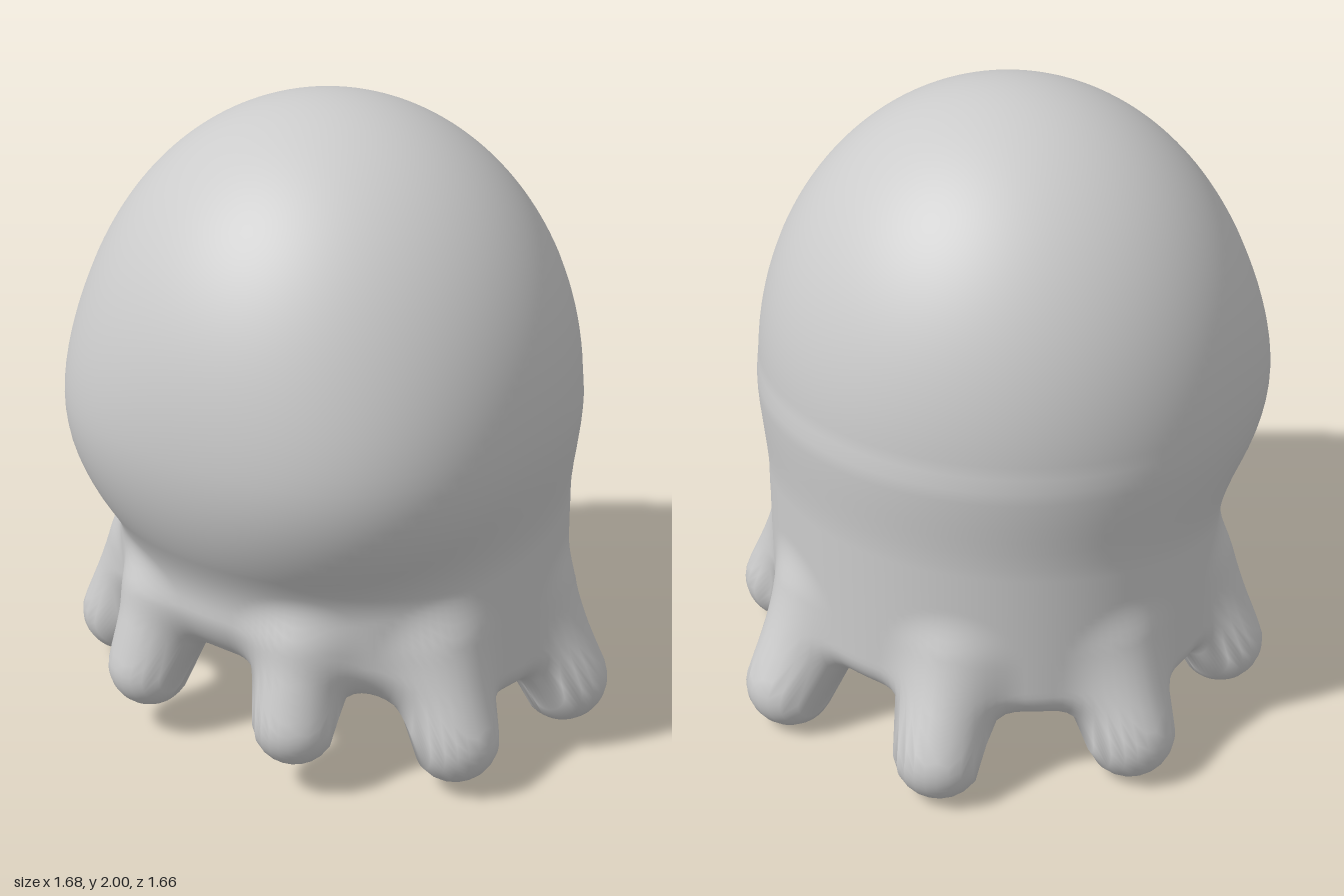
import * as THREE from 'three';

// Legs of one side: hip, tip, hip radius, tip radius
const LEGS = [
  [[0.27, 0.46, 0.54], [0.29, 0.23, 0.60], 0.125, 0.13],
  [[0.57, 0.43, 0.27], [0.67, 0.17, 0.30], 0.13, 0.135],
  [[0.59, 0.42, -0.21], [0.70, 0.145, -0.25], 0.13, 0.14],
  [[0.27, 0.43, -0.565], [0.30, 0.145, -0.69], 0.13, 0.14],
].map(([a, b, ra, rb]) => ({ a: new THREE.Vector3(...a), b: new THREE.Vector3(...b), ra, rb }));

const CORE = new THREE.Vector3(0, 1.5, 0.02);

// Smooth union of two distances
function blend(a, b, k) {
  const h = Math.max(k - Math.abs(a - b), 0) / k;
  return Math.min(a, b) - h * h * k * 0.25;
}

function ellipsoidDistance(x, y, z, rx, ry, rz) {
  const k0 = Math.hypot(x / rx, y / ry, z / rz);
  const k1 = Math.hypot(x / rx ** 2, y / ry ** 2, z / rz ** 2);
  return k0 * (k0 - 1) / Math.max(k1, 1e-6);
}

// Domed head: shorter lower half, cheeks fuller towards the front corners
function headDistance(p) {
  const y = p.y - 1.1, z = p.z - 0.055;
  const corner = z > 0 ? (2 * p.x * z / (p.x * p.x + z * z + 1e-6)) ** 2 : 0;
  const f = 1 + 0.05 * corner * Math.exp(-(((p.y - 1) / 0.35) ** 2));
  return ellipsoidDistance(p.x / f, y, z / f, 0.785, y > 0 ? 0.9 : 0.76, 0.77);
}

// Skirt between the legs: a thick oval curtain, its hem raised at the front
function skirtDistance(p) {
  const hem = 0.31 + (p.z > 0 ? 0.47 : 0.12) * p.z * p.z;
  const y = p.y - THREE.MathUtils.clamp(p.y, hem, 1.05);
  return Math.hypot(Math.hypot(p.x * 0.95, p.z + 0.02) - 0.59, y) - 0.1;
}

// Hollow under the head
function hollowDistance(p) {
  return ellipsoidDistance(p.x, p.y - 0.18, p.z, 0.55, 0.3, 0.52);
}

// Tapered, round-ended leg; mirrored through |x|
const ab = new THREE.Vector3(), ap = new THREE.Vector3();
function legDistance(p, leg) {
  ab.subVectors(leg.b, leg.a);
  ap.set(Math.abs(p.x), p.y, p.z).sub(leg.a);
  const t = THREE.MathUtils.clamp(ap.dot(ab) / ab.lengthSq(), 0, 1);
  return ap.addScaledVector(ab, -t).length() - THREE.MathUtils.lerp(leg.ra, leg.rb, t);
}

function skinDistance(p) {
  let d = blend(headDistance(p), skirtDistance(p), 0.06);
  d = -blend(-d, hollowDistance(p), 0.08);
  for (const leg of LEGS) d = blend(d, legDistance(p, leg), 0.1);
  return d;
}

// Shrink a band of a sphere inwards until it meets the skin
function skinBand(name, rings, thetaStart, thetaLength, material) {
  const geo = new THREE.SphereGeometry(1, 160, rings, 0, Math.PI * 2, thetaStart, thetaLength);
  const pos = geo.attributes.position, nor = geo.attributes.normal;
  const dir = new THREE.Vector3(), p = new THREE.Vector3(), n = new THREE.Vector3();
  const slope = (axis) => {
    const e = 0.004, v = p[axis];
    p[axis] = v + e;
    const hi = skinDistance(p);
    p[axis] = v - e;
    const lo = skinDistance(p);
    p[axis] = v;
    return hi - lo;
  };
  for (let i = 0; i < pos.count; i++) {
    dir.fromBufferAttribute(pos, i).normalize();
    let t = 2;
    for (let s = 0; s < 250; s++) {
      const d = skinDistance(p.copy(CORE).addScaledVector(dir, t));
      if (d < 0.0008) break;
      t -= Math.max(d * 0.7, 0.0008);
    }
    p.copy(CORE).addScaledVector(dir, t);
    n.set(slope('x'), slope('y'), slope('z')).normalize();
    pos.setXYZ(i, p.x, p.y, p.z);
    nor.setXYZ(i, n.x, n.y, n.z);
  }
  const mesh = new THREE.Mesh(geo, material);
  mesh.name = name;
  return mesh;
}

export function createModel() {
  const group = new THREE.Group();
  group.name = 'octopus';
  const material = new THREE.MeshStandardMaterial({ color: 0xcccccc, side: THREE.DoubleSide });
  const split = Math.PI * 0.74;
  group.add(skinBand('head', 56, 0, split, material));
  group.add(skinBand('legsAndUnderside', 100, split, Math.PI - split, material));
  return group;
}
